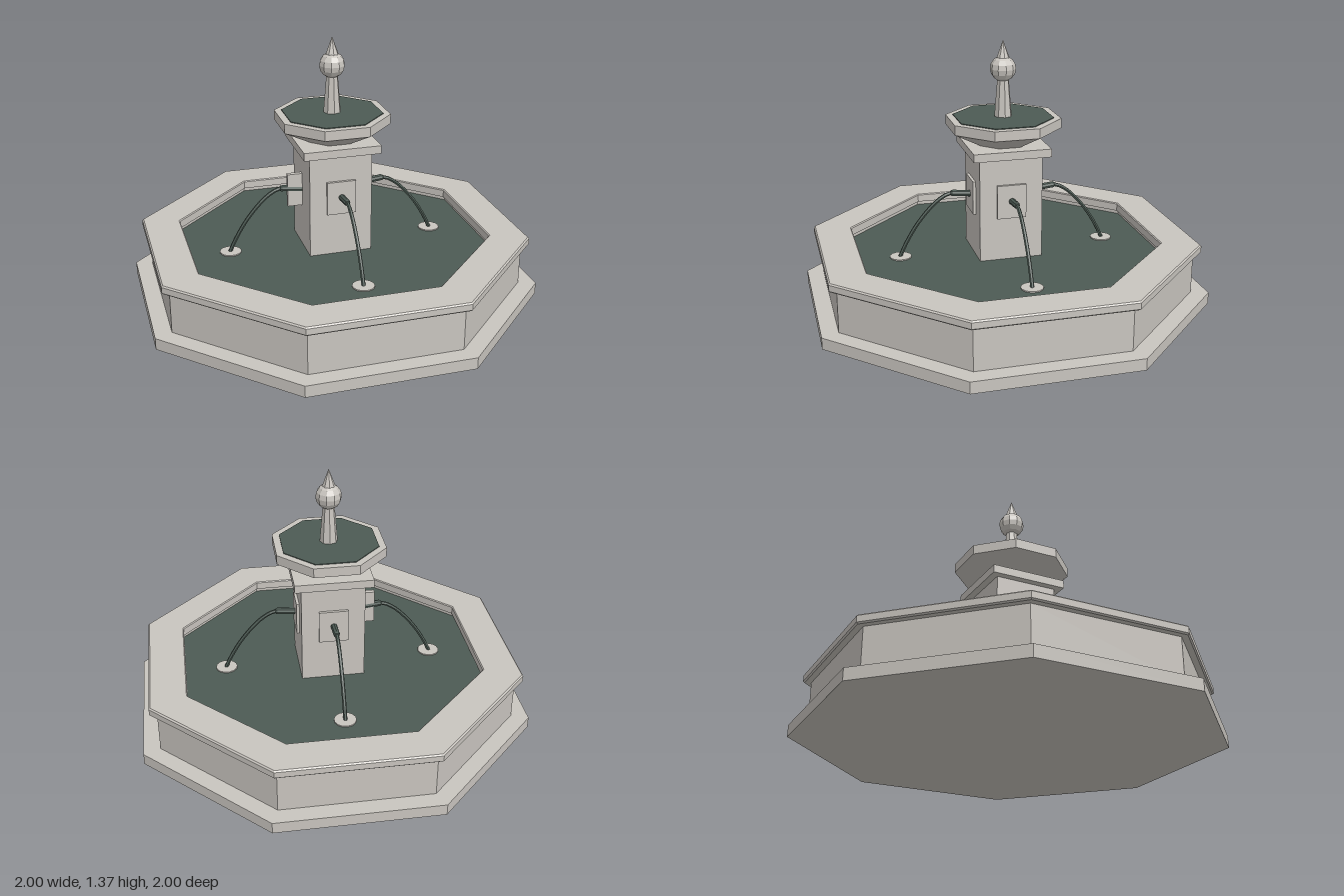
import * as THREE from 'three';

const stone = new THREE.MeshStandardMaterial({ color: 0xc9c5bf, flatShading: true });
stone.name = 'stone';
const water = new THREE.MeshStandardMaterial({ color: 0x4d5b54, flatShading: true });
water.name = 'water';

const OCT = 1 / Math.cos(Math.PI / 8); // apothem to corner radius

export function createModel() {
  const model = new THREE.Group();
  model.name = 'fountain';

  function add(name, geometry, material, parent = model) {
    const flat = geometry.index ? geometry.toNonIndexed() : geometry;
    flat.computeVertexNormals();
    const mesh = new THREE.Mesh(flat, material);
    mesh.name = name;
    parent.add(mesh);
    return mesh;
  }

  // Octagonal solid with flat sides on the axes; profile is [apothem, y] from bottom to top
  function octagon(name, profile, material) {
    const points = profile.map(([r, y]) => new THREE.Vector2(r * OCT, y));
    return add(name, new THREE.LatheGeometry(points, 8, Math.PI / 8), material);
  }

  function box(name, w, h, d, x, y, z, material, parent) {
    return add(name, new THREE.BoxGeometry(w, h, d).translate(x, y, z), material, parent);
  }

  // Basin
  octagon('basePlinth', [[0, 0], [1, 0], [1, 0.06], [0, 0.06]], stone);
  octagon('basinWall', [[0.77, 0.06], [0.915, 0.06], [0.915, 0.28], [0.77, 0.28], [0.77, 0.06]], stone);
  octagon('basinRim', [[0.76, 0.28], [0.945, 0.28], [0.952, 0.287], [0.952, 0.318], [0.945, 0.325],
    [0.765, 0.325], [0.76, 0.32], [0.76, 0.28]], stone);
  octagon('basinWater', [[0, 0.2], [0.77, 0.2], [0.77, 0.26], [0, 0.26]], water);

  // Square pillar and cap
  box('pillar', 0.326, 0.74, 0.326, 0, 0.43, 0, stone);
  box('pillarCap', 0.4, 0.042, 0.4, 0, 0.82, 0, stone);

  // Upper bowl
  octagon('upperBowl', [[0, 0.84], [0.13, 0.84], [0.275, 0.922], [0.275, 0.972], [0.24, 0.972], [0, 0.96]], stone);
  octagon('upperWater', [[0, 0.95], [0.24, 0.95], [0.24, 0.976], [0, 0.976]], water);

  // Finial
  add('finialShaft', new THREE.CylinderGeometry(0.029, 0.046, 0.21, 8).translate(0, 1.075, 0), stone);
  add('finialBall', new THREE.SphereGeometry(0.066, 10, 8).translate(0, 1.22, 0), stone);
  add('finialSpike', new THREE.ConeGeometry(0.037, 0.1, 8).translate(0, 1.315, 0), stone);

  // Four spouts, each built along +z and turned around the pillar
  const arc = new THREE.CatmullRomCurve3([
    [0.25, 0.585], [0.29, 0.582], [0.34, 0.555], [0.39, 0.51], [0.46, 0.425], [0.52, 0.325], [0.552, 0.255],
  ].map(([z, y]) => new THREE.Vector3(0, y, z)));
  const nozzleLine = new THREE.LineCurve3(new THREE.Vector3(0, 0.572, 0.15), new THREE.Vector3(0, 0.585, 0.27));

  ['front', 'left', 'back', 'right'].forEach((side, i) => {
    const spout = new THREE.Group();
    spout.name = side + 'Spout';
    spout.rotation.y = i * Math.PI / 2;
    model.add(spout);
    // The plaque on the right side stands edge-on, like a fin
    const fin = side === 'right';
    box('plaque', fin ? 0.025 : 0.15, 0.175, fin ? 0.15 : 0.025, 0, 0.572, 0.165, stone, spout);
    add('nozzle', new THREE.TubeGeometry(nozzleLine, 1, 0.017, 8), water, spout);
    add('nozzleTip', new THREE.SphereGeometry(0.017, 8, 4).translate(0, 0.584, 0.267), water, spout);
    add('waterJet', new THREE.TubeGeometry(arc, 16, 0.01, 6), water, spout);
    add('splashRing', new THREE.CylinderGeometry(0.056, 0.056, 0.008, 14).translate(0, 0.262, 0.546), stone, spout);
  });

  return model;
}
